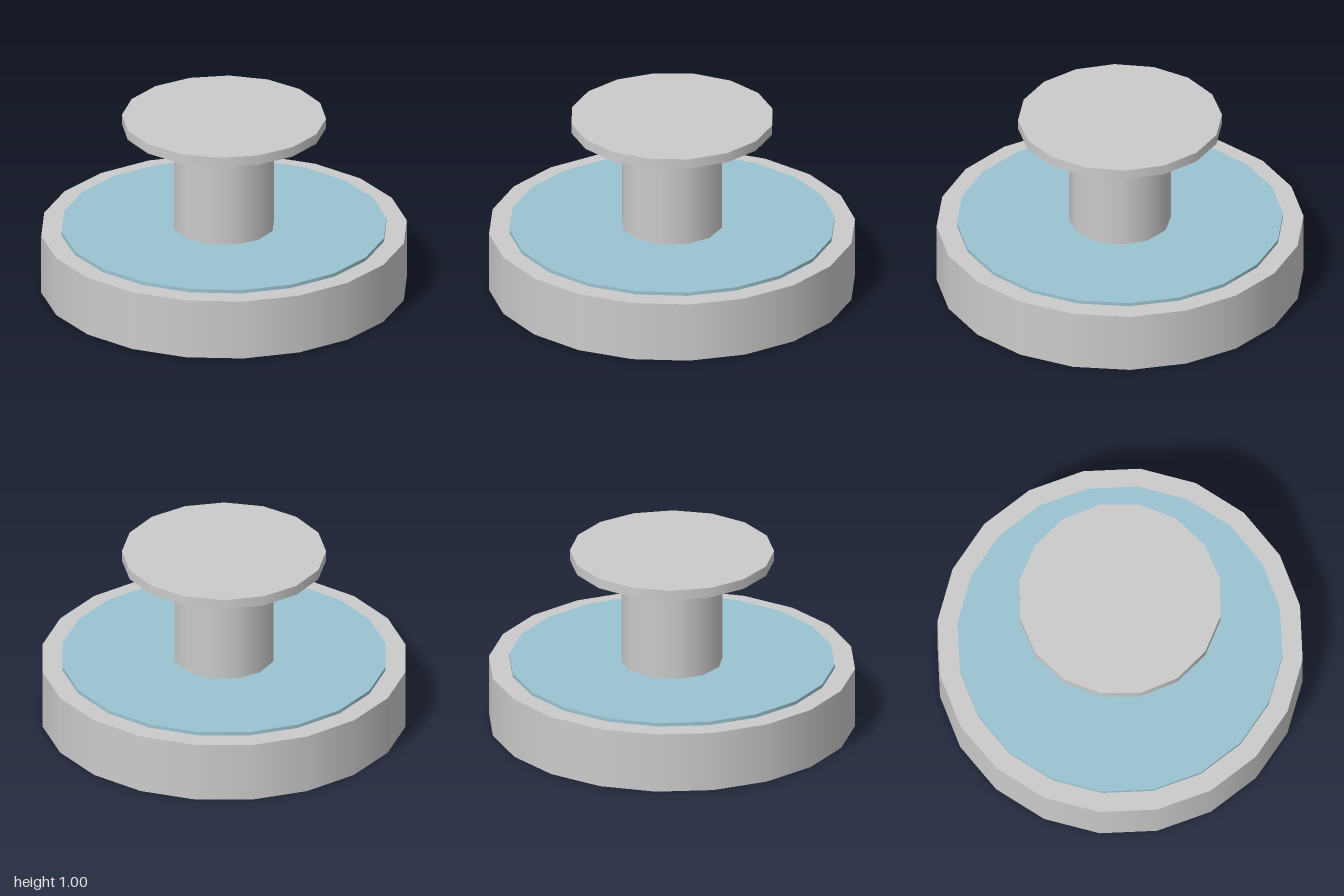
import * as THREE from 'three';

const grey = new THREE.MeshStandardMaterial({ color: 0xcccccc });
const water = new THREE.MeshStandardMaterial({ color: 0x9bc4d2 });

// Smooth-sided upright drum between two heights
function drum(name, radius, bottom, top, sides, material) {
  const geometry = new THREE.CylinderGeometry(radius, radius, top - bottom, sides);
  const mesh = new THREE.Mesh(geometry, material);
  mesh.name = name;
  mesh.position.y = (bottom + top) / 2;
  return mesh;
}

export function createModel() {
  const fountain = new THREE.Group();
  fountain.name = 'fountain';
  fountain.add(
    drum('basin', 1, 0, 0.338, 20, grey),
    drum('waterSurface', 0.889, 0.336, 0.358, 20, water),
    drum('column', 0.278, 0.338, 0.945, 12, grey),
    drum('topDish', 0.556, 0.944, 1, 16, grey),
  );
  return fountain;
}
